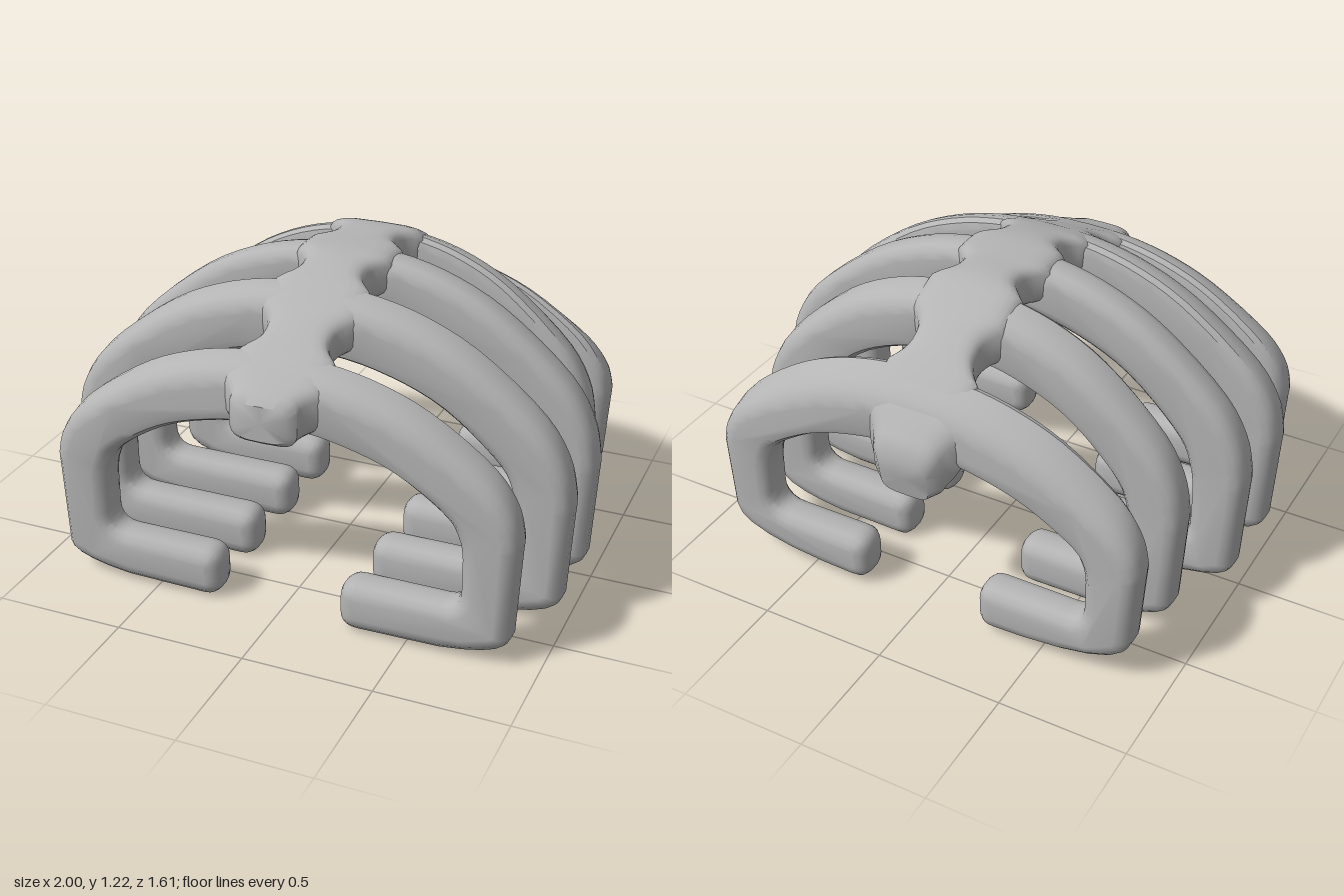
import * as THREE from 'three';
import { toCreasedNormals } from 'three/addons/utils/BufferGeometryUtils.js';

const bone = new THREE.MeshStandardMaterial({ color: 0xb4b4b4 });
bone.name = 'bone grey';

const v2 = (x, y) => new THREE.Vector2(x, y);
const smooth = (pts, n) => new THREE.SplineCurve(pts).getPoints(n);

function addMesh(parent, name, geo) {
  const mesh = new THREE.Mesh(geo, bone);
  mesh.name = name;
  parent.add(mesh);
  return mesh;
}

// z, half width, top, base, outer corner radius, slope of the crown along z
const RIBS = [
  [0.635, 0.905, 1.0, 0.005, 0.1, -0.4],
  [0.32, 1.0, 1.15, 0, 0.11, -0.32],
  [0, 1.0, 1.205, 0, 0.11, 0],
  [-0.32, 0.89, 1.175, 0, 0.12, 0.35],
  [-0.64, 0.875, 0.975, 0.02, 0.16, 0.7],
];

// Arch profiles as fractions of half width and of the rise above the shoulder
const OUTER = [[1, 0], [1, 0.1], [0.965, 0.29], [0.86, 0.5], [0.62, 0.765], [0.41, 0.91], [0.2, 0.985], [0, 1]];
const INNER = [[1, 0], [0.98, 0.2], [0.9, 0.42], [0.62, 0.76], [0.3, 0.94], [0, 1]];

// C-shaped rib: arch on top, upright sides, feet turned inward
function ribOutline(w, top, base, r) {
  const wi = w - 0.205, ti = top - 0.205, tip = 0.24, low = w - 0.018;
  const arch = (list, hw, shoulder, t) =>
    smooth(list.map(([u, v]) => v2(u * hw, shoulder + v * (t - shoulder))), 24);
  const corner = (a, b, c) => new THREE.QuadraticBezierCurve(a, b, c).getPoints(5);
  const half = [
    ...corner(v2(tip, base + 0.07), v2(tip, base), v2(tip + 0.07, base)),
    ...corner(v2(low - r * 2.6, base + 0.005), v2(low - r * 0.1, base + 0.03), v2(low, base + r)),
    ...arch(OUTER, w, 0.45, top),
  ];
  const inside = [
    ...arch(INNER, wi, 0.4, ti).reverse(),
    ...corner(v2(wi, base + 0.265), v2(wi, base + 0.195), v2(wi - 0.07, base + 0.195)),
    ...corner(v2(tip + 0.07, base + 0.195), v2(tip, base + 0.195), v2(tip, base + 0.125)),
  ];
  const mirror = (list) => list.map((p) => v2(-p.x, p.y)).reverse();
  return [...half, ...mirror(half).slice(1), ...mirror(inside), ...inside.slice(1)];
}

// Extruded rib with rounded edges; the crown leans to follow the spine
function ribGeometry(w, top, base, r, slope) {
  const width = 0.154, bevel = 0.055;
  const geo = new THREE.ExtrudeGeometry(new THREE.Shape(ribOutline(w, top, base, r)), {
    depth: width - 2 * bevel, bevelEnabled: true, bevelThickness: bevel,
    bevelSize: bevel, bevelOffset: -bevel, bevelSegments: 3,
  });
  geo.translate(0, 0, bevel - width / 2);
  const pos = geo.attributes.position;
  for (let i = 0; i < pos.count; i++) {
    const y = pos.getY(i);
    pos.setY(i, y + slope * pos.getZ(i) * THREE.MathUtils.smoothstep(y, 0.4, top - 0.1));
  }
  return toCreasedNormals(geo, 0.6);
}

// Spine stations, front to back: top z, top y, underside z, underside y
const SPINE = [
  [0.81, 0.93, 0.81, 0.75], [0.68, 0.98, 0.7, 0.785], [0.55, 1.04, 0.55, 0.87], [0.4, 1.115, 0.4, 0.95],
  [0.25, 1.18, 0.22, 1.02], [0.1, 1.218, 0.06, 1.05], [-0.08, 1.222, -0.08, 1.05], [-0.25, 1.215, -0.22, 1.035],
  [-0.4, 1.15, -0.38, 0.97], [-0.55, 1.05, -0.52, 0.885], [-0.69, 0.925, -0.65, 0.75], [-0.815, 0.77, -0.775, 0.555],
];

// Spine half width, flaring into each rib
function spineWidth(z) {
  const d = Math.min(...RIBS.map(([ribZ]) => Math.abs(z - ribZ)));
  const s = THREE.MathUtils.clamp((d - 0.065) / 0.085, 0, 1);
  return 0.13 + 0.065 * (1 - s) ** 2;
}

// Lofted spine: rounded rectangular sections with chamfered, closed ends
function spineGeometry() {
  const steps = 84, sides = 24;
  const tops = new THREE.SplineCurve(SPINE.map((s) => v2(s[0], s[1])));
  const unders = new THREE.SplineCurve(SPINE.map((s) => v2(s[2], s[3])));
  const stations = [[0.006, 0], [0.006, 0.75]];
  for (let i = 0; i <= steps; i++) stations.push([0.03 + 0.94 * i / steps, 1]);
  stations.push([0.994, 0.75], [0.994, 0]);
  const square = (n) => Math.sign(n) * Math.abs(n) ** 0.5;
  const positions = [], index = [];
  stations.forEach(([t, scale], i) => {
    const a = tops.getPoint(t), b = unders.getPoint(t);
    for (let j = 0; j < sides; j++) {
      const angle = (j / sides) * Math.PI * 2;
      const p = b.clone().lerp(a, 0.5 + 0.5 * scale * square(Math.sin(angle)));
      positions.push(spineWidth(p.x) * scale * square(Math.cos(angle)), p.y, p.x);
      if (i === 0) continue;
      const k = (j + 1) % sides, r0 = (i - 1) * sides, r1 = i * sides;
      index.push(r0 + j, r1 + j, r0 + k, r0 + k, r1 + j, r1 + k);
    }
  });
  const geo = new THREE.BufferGeometry();
  geo.setAttribute('position', new THREE.Float32BufferAttribute(positions, 3));
  geo.setIndex(index);
  return toCreasedNormals(geo, 0.7);
}

export function createModel() {
  const model = new THREE.Group();
  model.name = 'ribCage';
  addMesh(model, 'spine', spineGeometry());
  RIBS.forEach(([z, ...size], i) => {
    addMesh(model, `rib${i + 1}`, ribGeometry(...size)).position.z = z;
  });
  return model;
}
